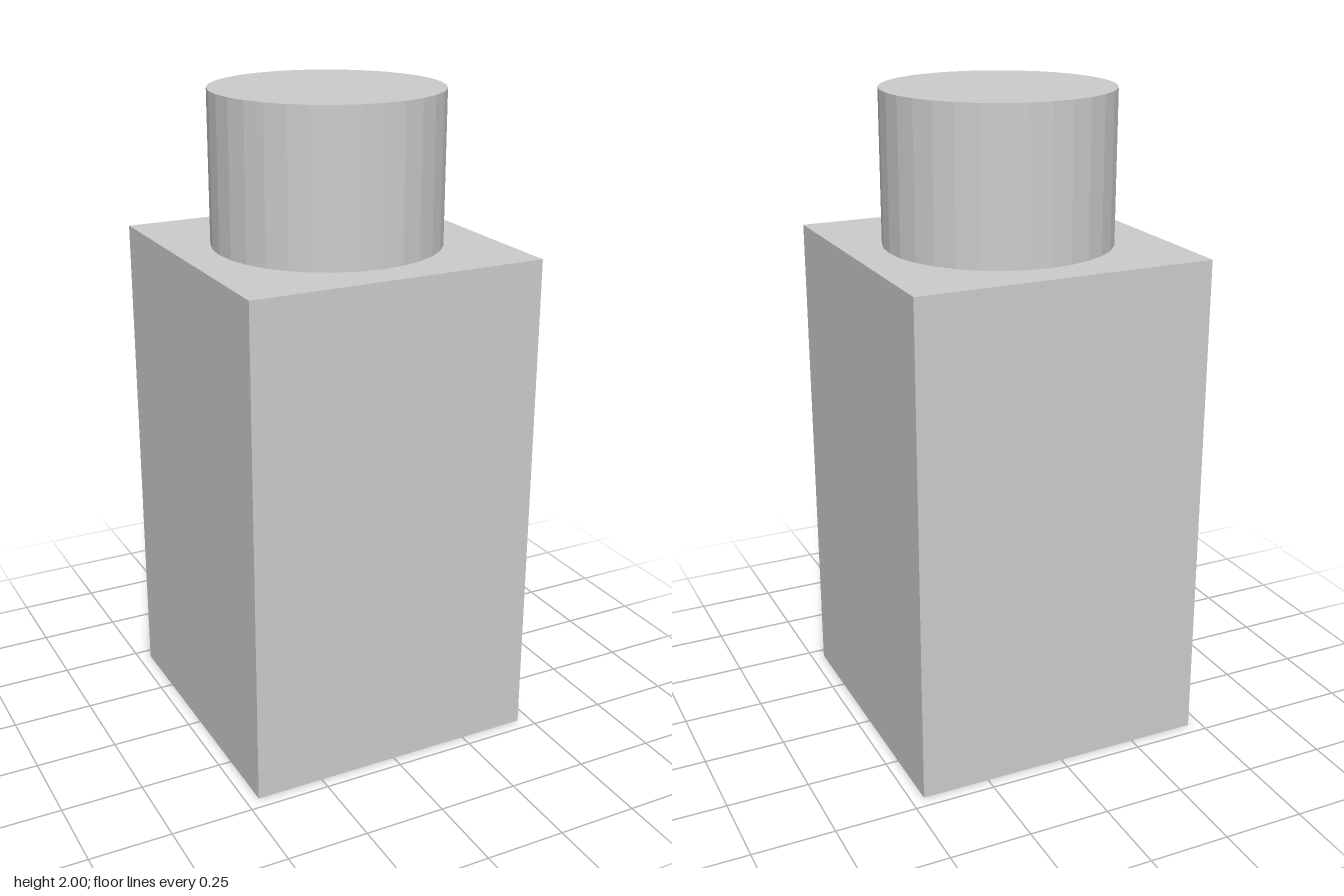
import * as THREE from 'three';

export function createModel() {
  const model = new THREE.Group();
  const material = new THREE.MeshStandardMaterial({ color: 0xcccccc, flatShading: true });
  const bodyWidth = 0.92, bodyHeight = 1.54, capRadius = 0.348, capHeight = 0.46;

  // Adds a part standing on the given height
  const addPart = (name, geometry, height, base) => {
    const mesh = new THREE.Mesh(geometry, material);
    mesh.name = name;
    mesh.position.y = base + height / 2;
    model.add(mesh);
  };

  // Square bottle body
  addPart('body', new THREE.BoxGeometry(bodyWidth, bodyHeight, bodyWidth), bodyHeight, 0);

  // Round faceted cap
  addPart('cap', new THREE.CylinderGeometry(capRadius, capRadius, capHeight, 32), capHeight, bodyHeight);

  return model;
}
